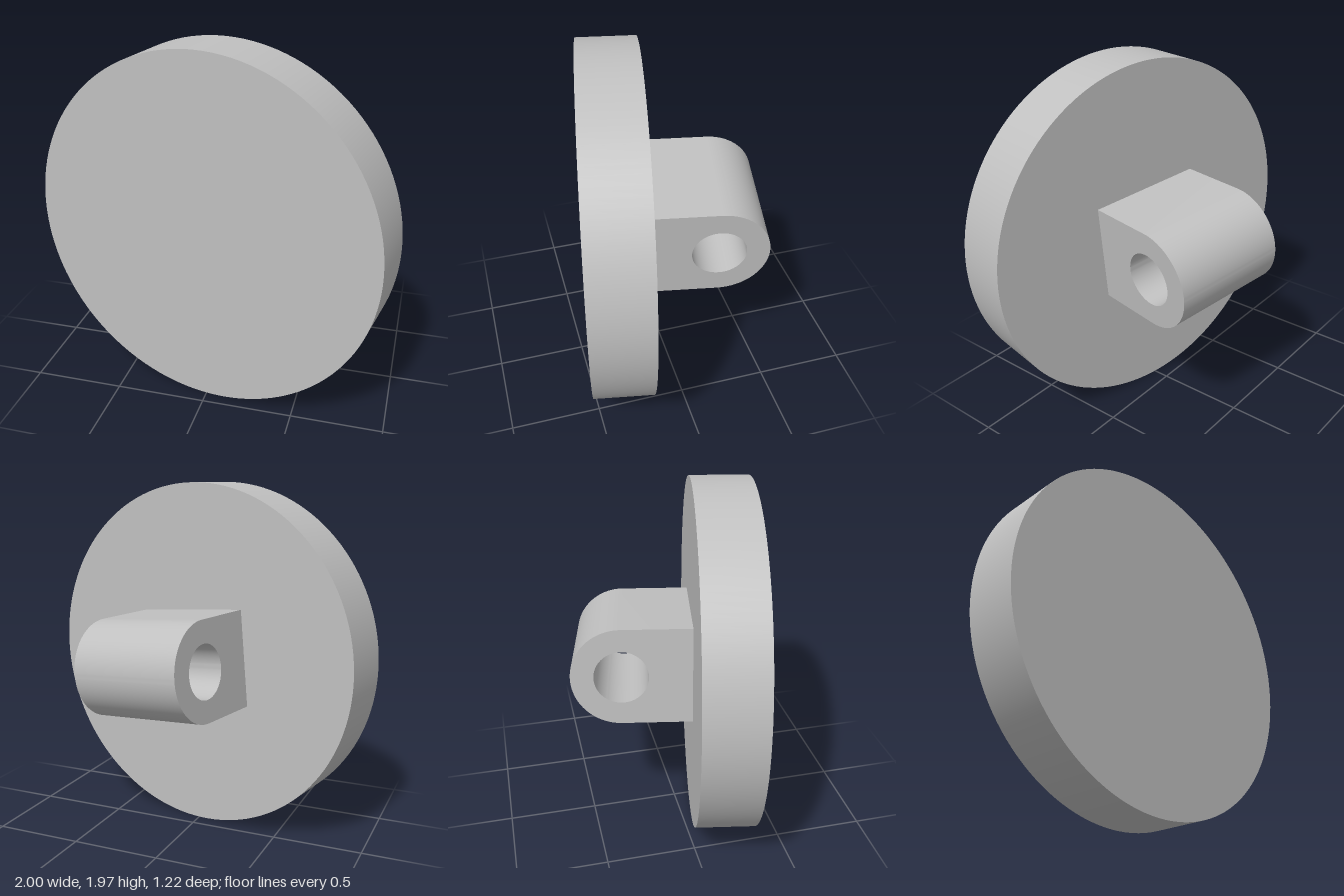
import * as THREE from 'three';
import { toCreasedNormals } from 'three/addons/utils/BufferGeometryUtils.js';

const DISC_R = 0.985, DISC_T = 0.327;
const LUG_W = 0.664, LUG_R = 0.273, HOLE_R = 0.148, HOLE_DIST = 0.547;

export function createModel() {
  const grey = new THREE.MeshStandardMaterial({ color: 0xc0c0c0 });
  grey.name = 'plain grey';

  // Thick round disc with its axis along local z
  const disc = new THREE.Mesh(
    new THREE.CylinderGeometry(DISC_R, DISC_R, DISC_T, 128).rotateX(Math.PI / 2), grey);
  disc.name = 'disc';

  // Lug profile: x is the distance behind the disc centre
  const start = DISC_T / 2 - 0.005;
  const profile = new THREE.Shape();
  profile.moveTo(start, -LUG_R);
  profile.lineTo(HOLE_DIST, -LUG_R);
  profile.absarc(HOLE_DIST, 0, LUG_R, -Math.PI / 2, Math.PI / 2, false);
  profile.lineTo(start, LUG_R);
  profile.closePath();
  const hole = new THREE.Path();
  hole.absarc(HOLE_DIST, 0, HOLE_R, 0, Math.PI * 2, true);
  profile.holes.push(hole);

  const lugGeometry = new THREE.ExtrudeGeometry(profile, {
    depth: LUG_W, bevelEnabled: false, curveSegments: 48,
  });
  lugGeometry.translate(0, 0, -LUG_W / 2).rotateY(Math.PI / 2);
  const lug = new THREE.Mesh(toCreasedNormals(lugGeometry, 0.5), grey);
  lug.name = 'mountingLug';

  // Turned about the upright axis, with a slight roll of the lug
  const body = new THREE.Group();
  body.name = 'discWithLug';
  body.add(disc, lug);
  body.rotation.set(0, -0.1915, -0.091);
  body.position.set(0, DISC_R, 0.2575);

  const model = new THREE.Group();
  model.name = 'discMount';
  model.add(body);
  return model;
}
